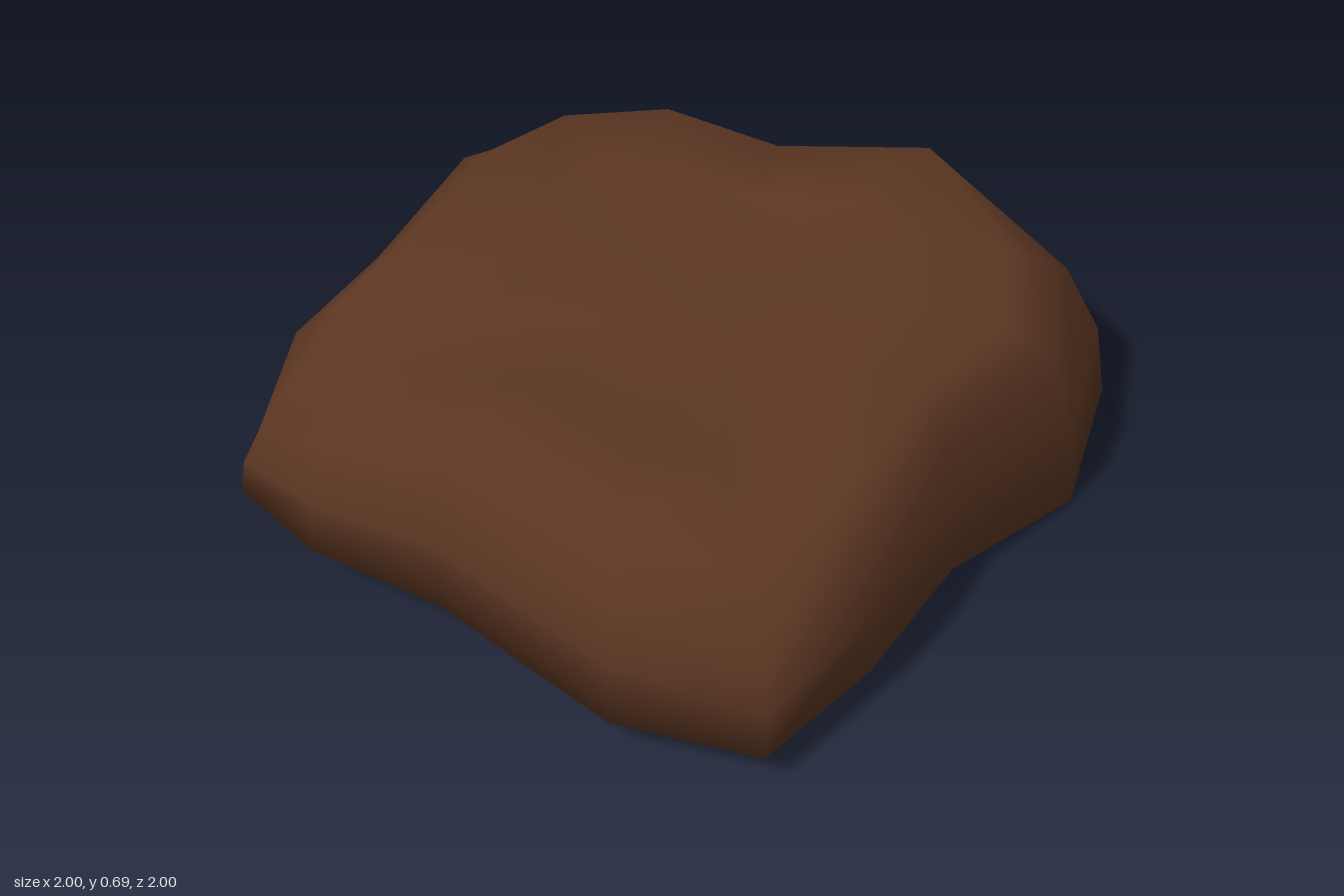
import * as THREE from 'three';

// Plan outline, clockwise from the back-left corner:
// x, z, lower edge y, shoulder scale, shoulder y, rim scale, rim y
const OUTLINE = [
  [-0.915, -0.78, 0.12, 0.96, 0.38, 0.83, 0.54],
  [-0.54, -0.865, 0.10, 0.96, 0.48, 0.84, 0.615],
  [-0.10, -0.865, 0.06, 0.97, 0.48, 0.81, 0.625],
  [0.40, -1.00, 0.01, 0.97, 0.51, 0.82, 0.685],
  [0.89, -0.89, 0.01, 0.875, 0.465, 0.74, 0.55],
  [1.00, -0.40, 0.01, 0.91, 0.505, 0.79, 0.565],
  [0.86, 0.06, 0.06, 0.95, 0.48, 0.84, 0.58],
  [0.86, 0.53, 0.10, 0.97, 0.44, 0.85, 0.55],
  [0.78, 0.92, 0.11, 0.97, 0.38, 0.84, 0.515],
  [0.40, 1.00, 0.10, 1.00, 0.48, 0.86, 0.62],
  [-0.15, 0.915, 0.15, 0.96, 0.52, 0.855, 0.66],
  [-0.54, 0.915, 0.15, 0.95, 0.46, 0.855, 0.58],
  [-0.84, 0.82, 0.15, 0.945, 0.34, 0.84, 0.515],
  [-0.915, 0.53, 0.15, 0.95, 0.45, 0.84, 0.545],
  [-0.915, 0.14, 0.14, 0.95, 0.47, 0.84, 0.575],
  [-1.00, -0.40, 0.10, 0.93, 0.49, 0.79, 0.595],
];

// Rings from the underside to the top: each gives [plan scale, height]
const RINGS = [
  () => [0.3, 0],
  () => [0.54, 0],
  (p) => [1, p[2]],
  (p) => [0.75 + 0.25 * p[3], (p[2] + p[4]) / 2],
  (p) => [p[3], p[4]],
  (p) => [p[5], p[6]],
  (p) => [0.55, 0.25 * p[6] + 0.75 * (0.59 - 0.03 * p[1])],
  () => [0.28, 0.605],
];

function rockGeometry() {
  const n = OUTLINE.length;
  const pos = [0, 0, 0];
  const index = [];
  for (const ring of RINGS) {
    for (const p of OUTLINE) {
      const [s, y] = ring(p);
      pos.push(p[0] * s, y, p[1] * s);
    }
  }
  pos.push(0, 0.61, 0);
  const top = 1 + RINGS.length * n;
  for (let i = 0; i < n; i++) {
    const j = (i + 1) % n;
    // underside fan
    index.push(0, 1 + i, 1 + j);
    // walls between neighbouring rings
    for (let r = 0; r < RINGS.length - 1; r++) {
      const a = 1 + r * n, b = a + n;
      index.push(a + i, b + i, a + j, a + j, b + i, b + j);
    }
    // top fan
    index.push(top - n + i, top, top - n + j);
  }
  const geo = new THREE.BufferGeometry();
  geo.setAttribute('position', new THREE.Float32BufferAttribute(pos, 3));
  geo.setIndex(index);
  geo.computeVertexNormals();
  return geo;
}

export function createModel() {
  const group = new THREE.Group();
  group.name = 'flatRock';
  const brown = new THREE.MeshStandardMaterial({ color: 0x5c3622 });
  brown.name = 'earthBrown';
  const rock = new THREE.Mesh(rockGeometry(), brown);
  rock.name = 'rock';
  group.add(rock);
  return group;
}
